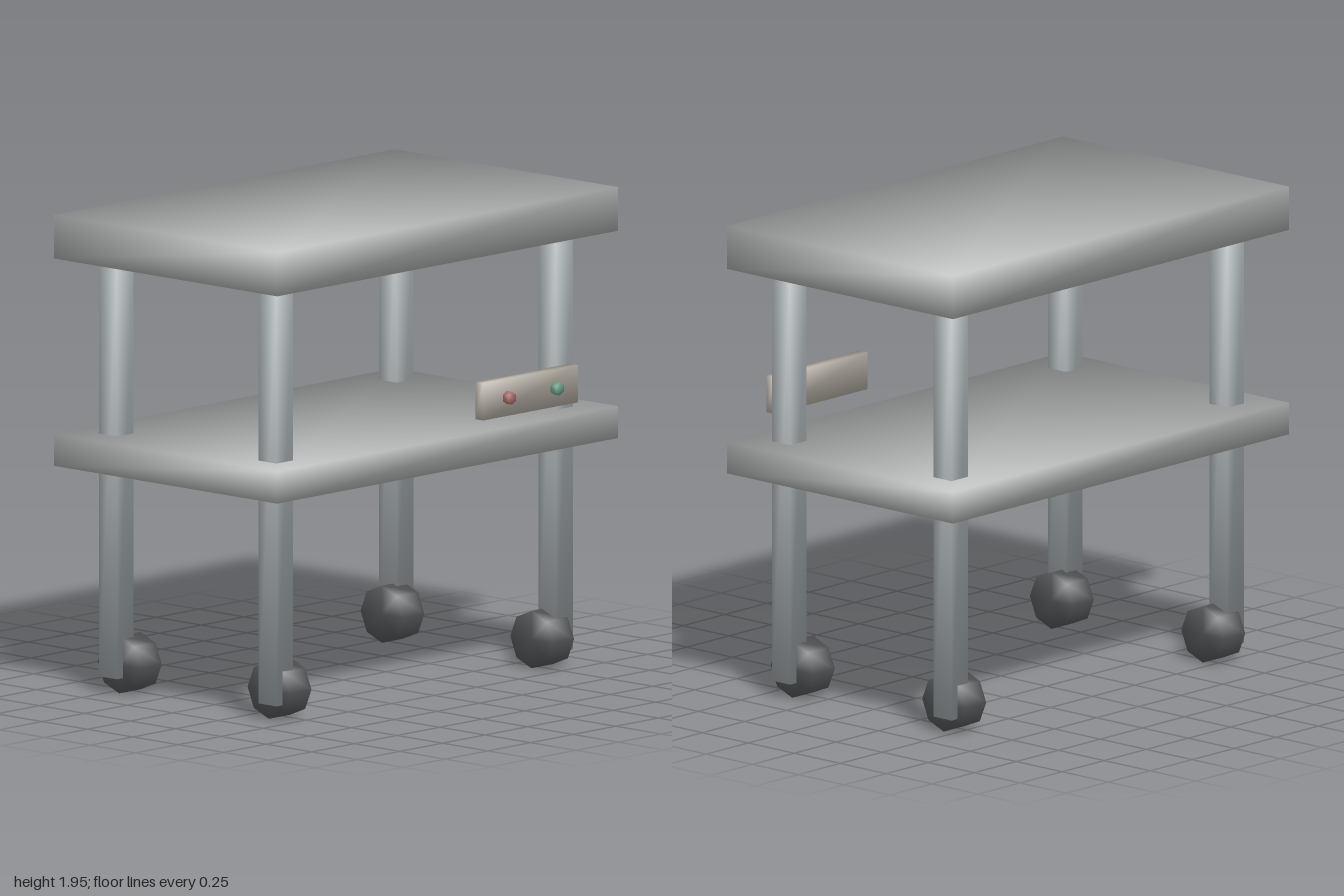
import * as THREE from 'three';
import { mergeVertices } from 'three/addons/utils/BufferGeometryUtils.js';

const paint = (color) => new THREE.MeshStandardMaterial({ color });

// Box whose corner normals point diagonally outward, for soft shading
function softBox(w, h, d) {
  const geometry = new THREE.BoxGeometry(w, h, d);
  const { position, normal } = geometry.attributes;
  const s = 1 / Math.sqrt(3);
  for (let i = 0; i < position.count; i++) {
    normal.setXYZ(i, s * Math.sign(position.getX(i)), s * Math.sign(position.getY(i)), s * Math.sign(position.getZ(i)));
  }
  return geometry;
}

// Cylinder with its rim welded, so that shading runs around the edges
function softCylinder(radius, length, sides) {
  const geometry = new THREE.CylinderGeometry(radius, radius, length, sides);
  geometry.deleteAttribute('uv');
  geometry.deleteAttribute('normal');
  const welded = mergeVertices(geometry, 1e-4);
  welded.computeVertexNormals();
  return welded;
}

function part(name, geometry, material, x, y, z) {
  const mesh = new THREE.Mesh(geometry, material);
  mesh.name = name;
  mesh.position.set(x, y, z);
  return mesh;
}

export function createModel() {
  const model = new THREE.Group();
  model.name = 'trolley';
  const shelfGrey = paint(0xa2a4a4);
  const legGrey = paint(0x989fa2);
  const rubber = paint(0x505254);
  const midZ = -0.04; // centre line of the shelves

  // Shelves
  model.add(part('topShelf', softBox(2, 0.178, 1.23), shelfGrey, 0, 1.861, midZ));
  model.add(part('lowerShelf', softBox(2, 0.13, 1.23), shelfGrey, 0, 0.991, midZ));

  // Legs, each with an eight-sided wheel on its inner side
  for (const sx of [-1, 1]) {
    for (const sz of [-1, 1]) {
      const label = (sz > 0 ? 'front' : 'back') + (sx > 0 ? 'Left' : 'Right');
      model.add(part(label + 'Leg', softBox(0.098, 1.715, 0.098), legGrey,
        sx * 0.82, 0.9225, midZ + sz * 0.439));
      const wheel = softCylinder(0.117, 0.125, 8).rotateZ(Math.PI / 2);
      model.add(part(label + 'Wheel', wheel, rubber, sx * 0.77, 0.117, midZ + sz * 0.412));
    }
  }

  // Control panel with two buttons
  const panel = new THREE.Group();
  panel.name = 'controlPanel';
  panel.position.set(0.432, 1.193, 0.604);
  panel.add(part('panelPlate', softBox(0.555, 0.152, 0.044), paint(0xaaa49a), 0, 0, 0));
  const button = (name, color, x) => {
    const knob = softCylinder(0.026, 0.032, 6).rotateX(Math.PI / 2);
    panel.add(part(name, knob, paint(color), x, 0, 0.036));
  };
  button('redButton', 0xa86c6c, -0.14);
  button('greenButton', 0x6a9c88, 0.14);
  model.add(panel);

  return model;
}
